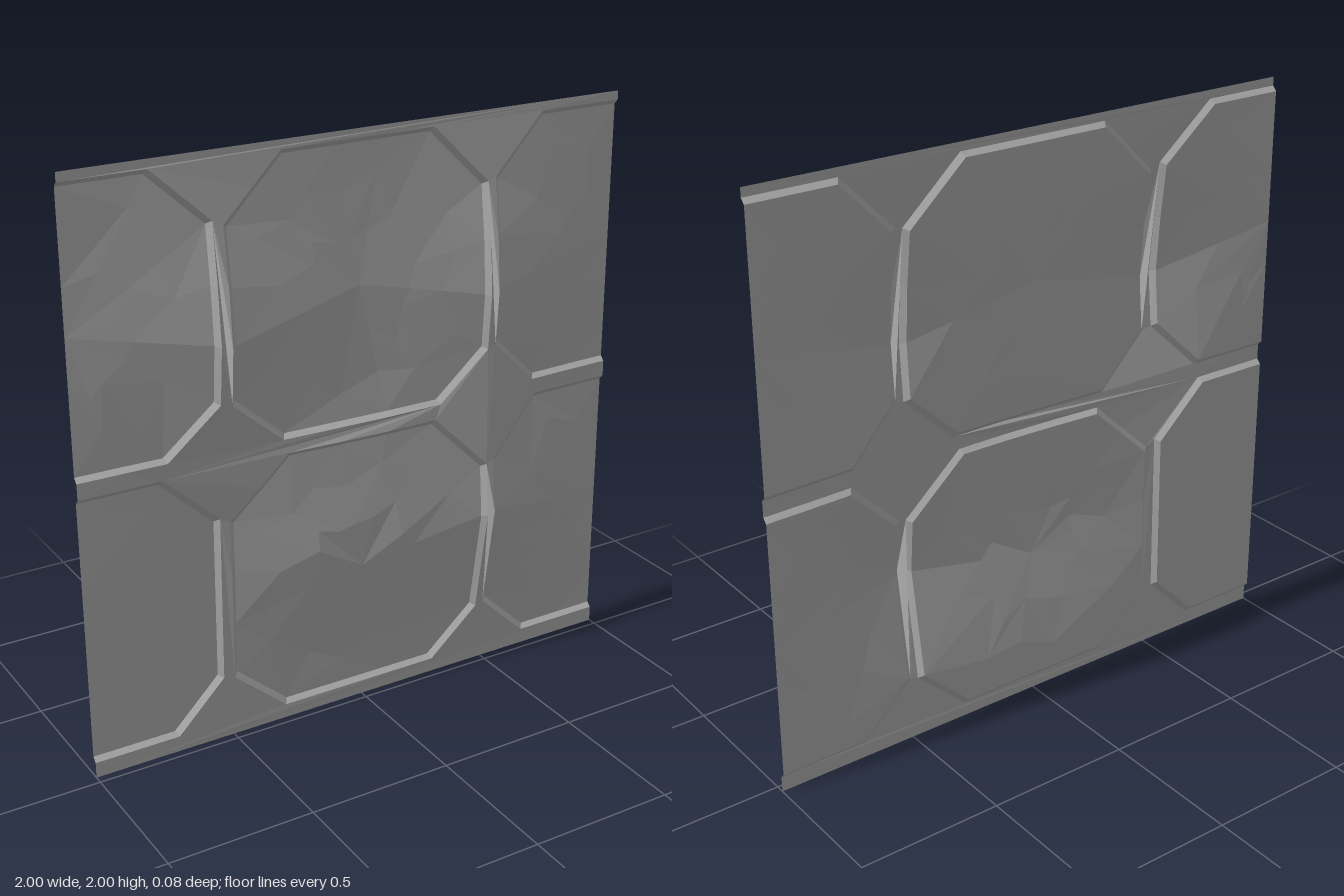
import * as THREE from 'three';

const GROUT_Z = -0.03, TILE_Z = -0.045;

// Coarse relief: swell heights on an uneven grid, rows from top to bottom
const XS = [-1, -0.75, -0.51, -0.25, 0, 0.25, 0.48, 0.75, 1];
const YS = [2, 1.75, 1.45, 1.22, 1, 0.8, 0.6, 0.23, 0];
const SWELL = [
  [0, 0, 0, 0, 0, 0, 0, 0, 0],
  [0, 12, 20, 12, 5, 8, 20, 6, 0],
  [0, 30, 66, 44, 24, 32, 62, 28, 0],
  [0, 12, 48, 25, 16, 32, 45, 16, 0],
  [0, 2, 12, 18, 34, 34, 18, 5, 0],
  [0, 0, 0, 22, 38, 48, 50, 20, 0],
  [0, 0, 0, 40, 52, 60, 70, 34, 0],
  [0, 0, 0, 0, 5, 6, 8, 4, 0],
  [0, 0, 0, 0, 0, 0, 0, 0, 0],
];

function swell(x, y) {
  let i = 0, j = 0;
  while (i < 7 && x > XS[i + 1]) i++;
  while (j < 7 && y < YS[j + 1]) j++;
  const u = (x - XS[i]) / (XS[i + 1] - XS[i]);
  const v = (y - YS[j]) / (YS[j + 1] - YS[j]);
  const top = SWELL[j][i] * (1 - u) + SWELL[j][i + 1] * u;
  const low = SWELL[j + 1][i] * (1 - u) + SWELL[j + 1][i + 1] * u;
  return (top * (1 - v) + low * v) / 1000;
}

// Split every edge of an outline into short pieces
function subdivide(points, closed) {
  const out = [];
  const n = closed ? points.length : points.length - 1;
  for (let i = 0; i < n; i++) {
    const [ax, ay] = points[i], [bx, by] = points[(i + 1) % points.length];
    const steps = Math.max(1, Math.round(Math.hypot(bx - ax, by - ay) / 0.19));
    for (let k = 0; k < steps; k++) {
      out.push([ax + (bx - ax) * k / steps, ay + (by - ay) * k / steps]);
    }
  }
  if (!closed) out.push(points[points.length - 1]);
  return out;
}

function faceted(positions, index) {
  const g = new THREE.BufferGeometry();
  g.setAttribute('position', new THREE.Float32BufferAttribute(positions, 3));
  g.setIndex(index);
  const flat = g.toNonIndexed();
  flat.computeVertexNormals();
  return flat;
}

// Sunken tile: bevelled rim, then rings closing on a pivot
function tileGeometry(outline, [px, py], closed) {
  const n = outline.length, positions = [], index = [];
  const rings = [1, 0.965, 0.7, 0.38];
  rings.forEach((scale, r) => outline.forEach(([x, y], i) => {
    const s = r < 2 ? scale : scale + 0.07 * Math.sin(i * 2.4 + r * 1.7);
    const qx = px + (x - px) * s, qy = py + (y - py) * s;
    positions.push(qx, qy, (r === 0 ? GROUT_Z : TILE_Z) + swell(qx, qy));
  }));
  positions.push(px, py, TILE_Z + swell(px, py));
  const centre = rings.length * n;
  for (let i = 0; i < (closed ? n : n - 1); i++) {
    const j = (i + 1) % n;
    for (let r = 0; r < rings.length - 1; r++) {
      const a = r * n + i, b = r * n + j, c = a + n, d = b + n;
      if ((i + r) % 2) index.push(a, b, d, a, d, c);
      else index.push(a, b, c, b, d, c);
    }
    index.push(centre - n + i, centre - n + j, centre);
  }
  return faceted(positions, index);
}

// Upper-row outlines, anticlockwise; the side tiles are cut by the panel edge
const TILES = [
  { name: 'leftTile', pivot: [-1, 1.5], closed: false,
    points: [[-1, 1.04], [-0.7, 1.04], [-0.53, 1.21], [-0.525, 1.79], [-0.72, 1.97], [-1, 1.97]] },
  { name: 'centreTile', pivot: [-0.01, 1.5], closed: true,
    points: [[-0.28, 1.97], [-0.49, 1.77], [-0.49, 1.2], [-0.3, 1.035], [0.29, 1.035], [0.47, 1.2], [0.47, 1.77], [0.27, 1.97]] },
  { name: 'rightTile', pivot: [1, 1.5], closed: false,
    points: [[1, 1.97], [0.69, 1.97], [0.5, 1.78], [0.5, 1.21], [0.68, 1.04], [1, 1.04]] },
];

export function createModel() {
  const group = new THREE.Group();
  group.name = 'stonePanel';
  const stone = new THREE.MeshStandardMaterial({ color: 0xb0b0b0, side: THREE.DoubleSide, flatShading: true });
  stone.name = 'grey stone';

  const add = (name, geometry) => {
    const mesh = new THREE.Mesh(geometry, stone);
    mesh.name = name;
    group.add(mesh);
  };

  // Two rows of tiles
  const outlines = {};
  [['upper', 0], ['lower', -0.985]].forEach(([row, dy]) => TILES.forEach((t) => {
    const outline = subdivide(t.points.map(([x, y]) => [x, y + dy]), t.closed);
    outlines[row + t.name] = outline;
    add(`${row} ${t.name}`, tileGeometry(outline, [t.pivot[0], t.pivot[1] + dy], t.closed));
  }));

  // Grout web around the tiles
  const vec = (pts) => pts.map(([x, y]) => new THREE.Vector2(x, y));
  const back = (key) => [...outlines[key]].reverse();
  const border = vec([
    [-1, 0], [1, 0], ...back('lowerrightTile'), ...back('upperrightTile'),
    [1, 2], [-1, 2], ...back('upperleftTile'), ...back('lowerleftTile'),
  ]);
  const holes = [vec(back('uppercentreTile')), vec(back('lowercentreTile'))];
  const faces = THREE.ShapeUtils.triangulateShape(border, holes);
  const positions = [border, ...holes].flat().flatMap((p) => [p.x, p.y, GROUT_Z + swell(p.x, p.y)]);
  add('grout', faceted(positions, faces.flat()));

  return group;
}
